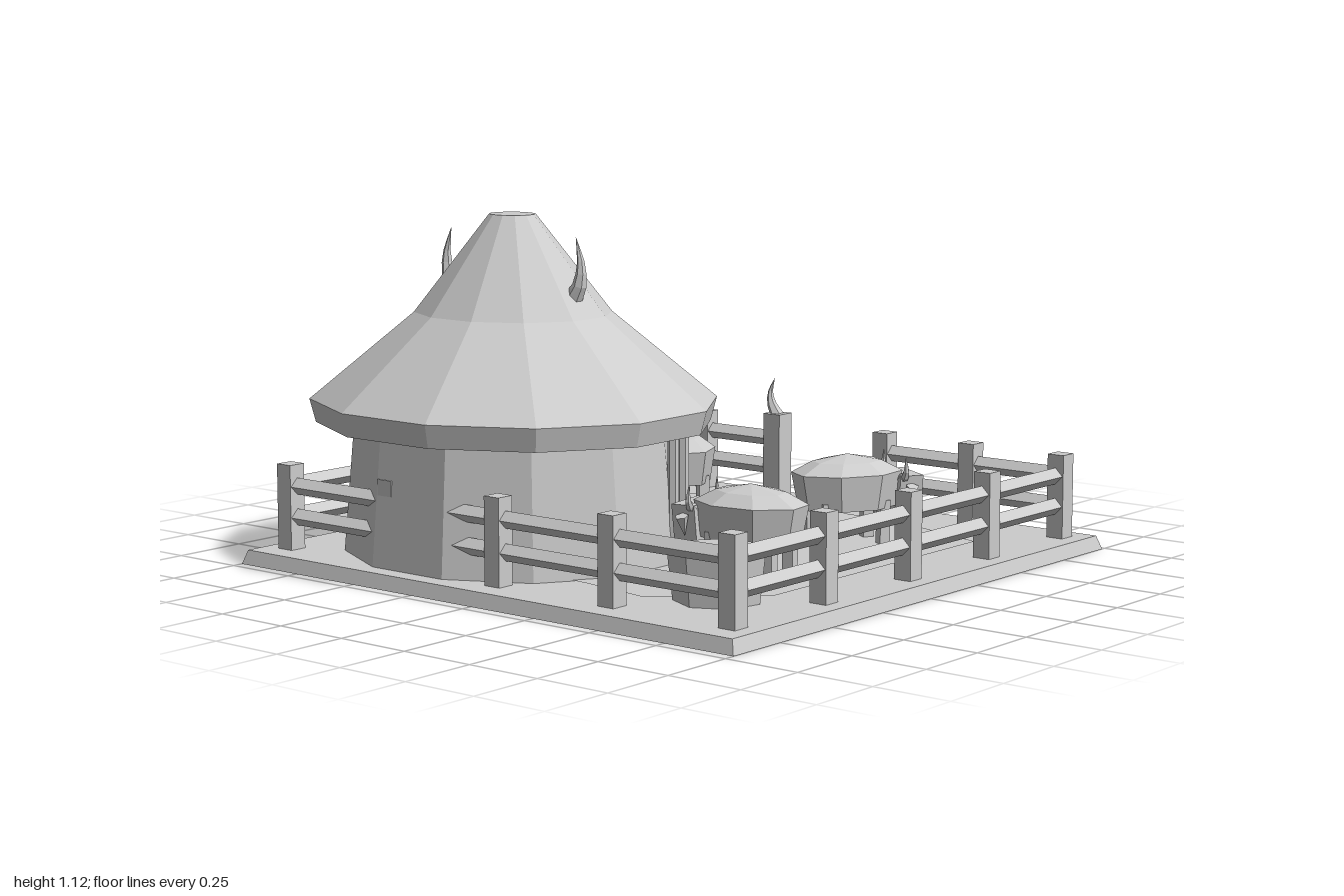
import * as THREE from 'three';

const clay = new THREE.MeshStandardMaterial({ color: 0xcccccc, flatShading: true, side: THREE.DoubleSide });
clay.name = 'plain grey';

function add(parent, name, geometry, x = 0, y = 0, z = 0) {
  const m = new THREE.Mesh(geometry, clay);
  m.name = name;
  m.position.set(x, y, z);
  parent.add(m);
  return m;
}

// Box given by its bottom height and top height
function block(parent, name, w, d, y0, y1, x, z) {
  return add(parent, name, new THREE.BoxGeometry(w, y1 - y0, d), x, (y0 + y1) / 2, z);
}

// Twelve-sided turned shape, profile given by distance to the flat sides
function turned(parent, name, profile, sides) {
  const k = 1 / Math.cos(Math.PI / sides);
  const pts = profile.map(([r, y]) => new THREE.Vector2(r * k, y));
  return add(parent, name, new THREE.LatheGeometry(pts, sides, Math.PI / sides));
}

// Curved horn that tapers to a point
function horn(parent, name, points, radius) {
  const curve = new THREE.CatmullRomCurve3(points.map(p => new THREE.Vector3(...p)));
  const n = 6, sides = 6;
  const geo = new THREE.TubeGeometry(curve, n, radius, sides);
  const pos = geo.attributes.position, v = new THREE.Vector3();
  for (let i = 0; i < pos.count; i++) {
    const t = Math.floor(i / (sides + 1)) / n;
    v.fromBufferAttribute(pos, i).lerp(curve.getPointAt(t), t * 0.98);
    pos.setXYZ(i, v.x, v.y, v.z);
  }
  geo.computeVertexNormals();
  return add(parent, name, geo);
}

// Diamond-section rail between two fence ends
function rail(parent, a, b, y) {
  const dx = b[0] - a[0], dz = b[1] - a[1];
  const geo = new THREE.CylinderGeometry(0.027, 0.027, Math.hypot(dx, dz), 4);
  geo.rotateX(Math.PI / 2);
  const m = add(parent, 'fenceRail', geo, (a[0] + b[0]) / 2, y, (a[1] + b[1]) / 2);
  m.rotation.y = Math.atan2(dx, dz);
}

function makeHut() {
  const hut = new THREE.Group();
  hut.name = 'hut';
  hut.position.set(-0.34, 0, 0.395);
  const round = new THREE.Group();
  round.name = 'roundHouse';
  round.scale.z = 0.89;
  hut.add(round);
  turned(round, 'wall', [[0.555, 0.03], [0.515, 0.48]], 12);
  turned(round, 'roof', [[0, 0.46], [0.64, 0.46], [0.66, 0.535], [0.32, 0.81], [0.075, 1.12], [0, 1.12]], 12);
  // Roof horns and wall poles
  for (const s of [-1, 1]) {
    horn(hut, 'roofHorn', [[s * 0.235, 0.85, 0], [s * 0.275, 0.9, 0], [s * 0.287, 0.97, 0], [s * 0.266, 1.06, 0]], 0.034);
    for (const a of [0.28, 0.56]) {
      add(hut, 'wallPole', new THREE.CylinderGeometry(0.018, 0.018, 0.44, 6),
        s * 0.565 * Math.cos(a), 0.26, -0.5 * Math.sin(a));
    }
  }
  // Doorway on the yard side
  block(hut, 'lintel', 0.435, 0.19, 0.43, 0.49, 0, -0.49);
  for (const s of [-1, 1]) block(hut, 'doorJamb', 0.06, 0.17, 0.03, 0.43, s * 0.165, -0.495);
  block(hut, 'door', 0.28, 0.06, 0.04, 0.43, 0, -0.495);
  block(hut, 'doorHandle', 0.025, 0.03, 0.22, 0.26, -0.08, -0.535);
  return hut;
}

function makeCow(x, z, dx, dz) {
  const cow = new THREE.Group();
  cow.name = 'cow';
  cow.position.set(x, 0, z);
  cow.rotation.y = Math.atan2(dx, dz);
  const body = turned(cow, 'cowBody', [[0, 0.16], [0.105, 0.165], [0.12, 0.28], [0.075, 0.315], [0, 0.337]], 8);
  body.scale.z = 1.45;
  for (const sx of [-1, 1]) {
    for (const sz of [-1, 1]) block(cow, 'cowLeg', 0.035, 0.035, 0, 0.19, sx * 0.065, sz * 0.1);
    // Ears hang at the sides, horns point up
    const ear = add(cow, 'cowEar', new THREE.ConeGeometry(0.022, 0.07, 5), sx * 0.085, 0.2, 0.19);
    ear.rotation.z = Math.PI - sx * 0.3;
    horn(cow, 'cowHorn', [[sx * 0.05, 0.25, 0.17], [sx * 0.085, 0.27, 0.17], [sx * 0.085, 0.33, 0.17]], 0.02);
  }
  // Head tapers toward the muzzle
  const head = new THREE.BoxGeometry(0.16, 0.13, 0.08);
  const p = head.attributes.position;
  for (let i = 0; i < p.count; i++) if (p.getY(i) < 0) p.setX(i, p.getX(i) * 0.75);
  head.computeVertexNormals();
  add(cow, 'cowHead', head, 0, 0.2, 0.195);
  return cow;
}

function makeFence() {
  const fence = new THREE.Group();
  fence.name = 'fence';
  const back = -0.88, front = 0.84, side = 0.9;
  const post = (x, z) => block(fence, 'fencePost', 0.06, 0.06, 0, 0.32, x, z);
  for (let i = 0; i < 5; i++) {
    const z = back + i * 0.43;
    post(-side, z);
    post(side, z);
    if (i > 0 && i < 4) post(-side + i * 0.45, front);
  }
  for (const x of [-0.58, 0.2, 0.55]) post(x, back);
  // Gate post with a horn on top
  block(fence, 'gatePost', 0.07, 0.07, 0, 0.34, -0.26, back);
  horn(fence, 'gateHorn', [[-0.26, 0.33, back], [-0.285, 0.37, back], [-0.295, 0.41, back - 0.005], [-0.28, 0.46, back - 0.01]], 0.024);
  for (const y of [0.15, 0.25]) {
    rail(fence, [-side, front], [side, front], y);
    rail(fence, [-side, back], [-0.26, back], y);
    rail(fence, [0.2, back], [side, back], y);
    for (const s of [-1, 1]) rail(fence, [s * side, back], [s * side, front], y);
  }
  return fence;
}

export function createModel() {
  const model = new THREE.Group();
  model.name = 'farmyard';

  // Ground slab with sloping sides
  const slab = new THREE.CylinderGeometry(0.985 * Math.SQRT2, Math.SQRT2, 0.045, 4, 1, false, Math.PI / 4);
  add(model, 'groundSlab', slab, 0, 0.0225, -0.01).scale.z = 0.975;

  // Trodden patch of the yard
  const outline = [[-0.8, -0.65], [-0.39, -0.76], [0.35, -0.75], [0.74, -0.625], [0.74, 0.44], [0.45, 0.7], [0.2, 0.66], [-0.4, 0.6], [-0.78, -0.08]];
  const patch = new THREE.ShapeGeometry(new THREE.Shape(outline.map(([x, z]) => new THREE.Vector2(x, -z))));
  patch.rotateX(-Math.PI / 2);
  add(model, 'yardPatch', patch, 0, 0.048, 0);

  // Seven-sided tub
  add(model, 'tub', new THREE.CylinderGeometry(0.153, 0.135, 0.16, 7), 0.64, 0.12, 0.58);

  model.add(makeHut(), makeFence());
  model.add(makeCow(-0.33, -0.4, -0.85, -0.53));
  model.add(makeCow(0.42, -0.36, 0.5, -0.87));
  model.add(makeCow(0.52, 0.27, -0.98, 0.15));
  return model;
}
